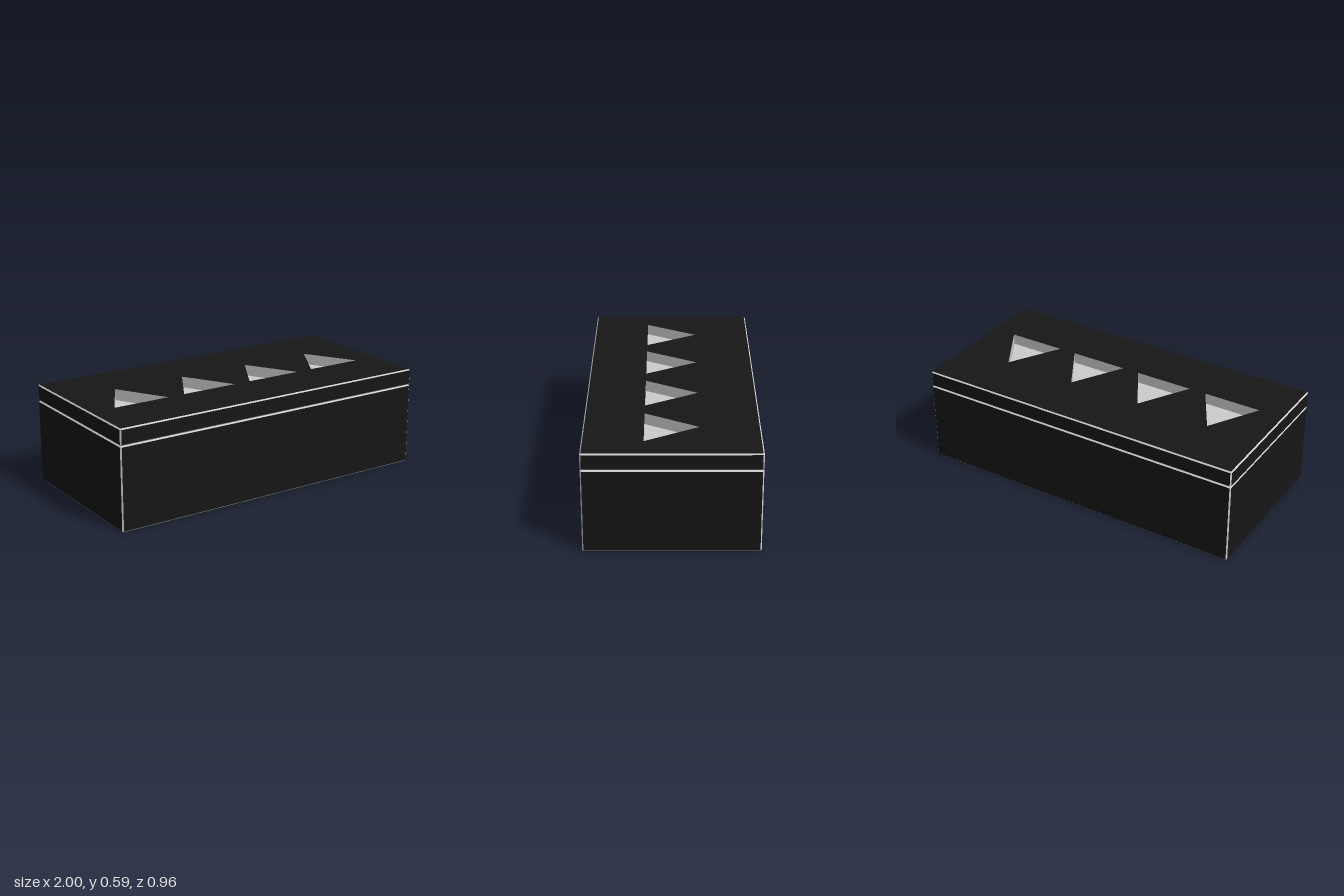
import * as THREE from 'three';
import { ConvexGeometry } from 'three/addons/geometries/ConvexGeometry.js';

const HX = 1, HZ = 0.482, BEVEL = 0.007;
const SEAM = 0.49, TOP = 0.587;
const HOLE_RADIUS = 0.2, HOLE_Z = 0.05, HOLE_DEPTH = 0.065;
const HOLE_XS = [-0.675, -0.225, 0.225, 0.675];

const dark = new THREE.MeshStandardMaterial({ color: 0x161616 });
const grey = new THREE.MeshStandardMaterial({ color: 0xcccccc });
const cut = new THREE.MeshStandardMaterial({ color: 0xcccccc, side: THREE.DoubleSide, flatShading: true });

function mesh(name, geometry, material) {
  const m = new THREE.Mesh(geometry, material);
  m.name = name;
  return m;
}

// Chamfered box: dark flat sides, grey chamfers; the top can be left open
function chamferedBox(name, y0, y1, openTop) {
  const half = [HX, (y1 - y0) / 2, HZ];
  const points = [];
  for (const sx of [-1, 1]) for (const sy of [-1, 1]) for (const sz of [-1, 1]) {
    for (let axis = 0; axis < 3; axis++) {
      const p = [sx, sy, sz].map((s, i) => s * (half[i] - (i === axis ? 0 : BEVEL)));
      points.push(new THREE.Vector3(p[0], p[1] + (y0 + y1) / 2, p[2]));
    }
  }
  const hull = new ConvexGeometry(points);
  const pos = hull.attributes.position, nor = hull.attributes.normal;
  const flats = [], chamfers = [];
  for (let i = 0; i < pos.count; i += 3) {
    const n = new THREE.Vector3().fromBufferAttribute(nor, i);
    if (openTop && n.y > 0.99) continue;
    const isFlat = Math.max(Math.abs(n.x), Math.abs(n.y), Math.abs(n.z)) > 0.99;
    for (let k = i; k < i + 3; k++) {
      (isFlat ? flats : chamfers).push(new THREE.Vector3().fromBufferAttribute(pos, k));
    }
  }
  const group = new THREE.Group();
  group.name = name;
  for (const [part, list, mat] of [['Sides', flats, dark], ['Chamfers', chamfers, grey]]) {
    const g = new THREE.BufferGeometry().setFromPoints(list);
    g.computeVertexNormals();
    group.add(mesh(name + part, g, mat));
  }
  return group;
}

// Lid panel with four triangular openings (shape y becomes -z)
function lidTop() {
  const x = HX - BEVEL, z = HZ - BEVEL;
  const shape = new THREE.Shape([[-x, -z], [x, -z], [x, z], [-x, z]].map(p => new THREE.Vector2(...p)));
  for (const cx of HOLE_XS) {
    const corners = [0, 1, 2].map(i => {
      const a = Math.PI / 2 - i * Math.PI * 2 / 3;
      return new THREE.Vector2(cx + HOLE_RADIUS * Math.cos(a), -HOLE_Z + HOLE_RADIUS * Math.sin(a));
    });
    shape.holes.push(new THREE.Path(corners));
  }
  return mesh('lidTop', new THREE.ShapeGeometry(shape).rotateX(-Math.PI / 2).translate(0, TOP, 0), dark);
}

// Triangular pocket: three walls and a floor
function pocket(x) {
  const group = new THREE.Group();
  group.name = 'triangularRecess';
  const walls = new THREE.CylinderGeometry(HOLE_RADIUS, HOLE_RADIUS, HOLE_DEPTH, 3, 1, true, Math.PI);
  const floor = new THREE.CircleGeometry(HOLE_RADIUS, 3, Math.PI / 2).rotateX(-Math.PI / 2);
  group.add(mesh('recessWalls', walls.translate(0, -HOLE_DEPTH / 2, 0), cut));
  group.add(mesh('recessFloor', floor.translate(0, -HOLE_DEPTH, 0), cut));
  group.position.set(x, TOP, HOLE_Z);
  return group;
}

export function createModel() {
  const model = new THREE.Group();
  model.name = 'lidded box';
  model.add(chamferedBox('boxBody', 0, SEAM, false));
  const lid = chamferedBox('lid', SEAM, TOP, true);
  lid.add(lidTop());
  for (const x of HOLE_XS) lid.add(pocket(x));
  model.add(lid);
  return model;
}
